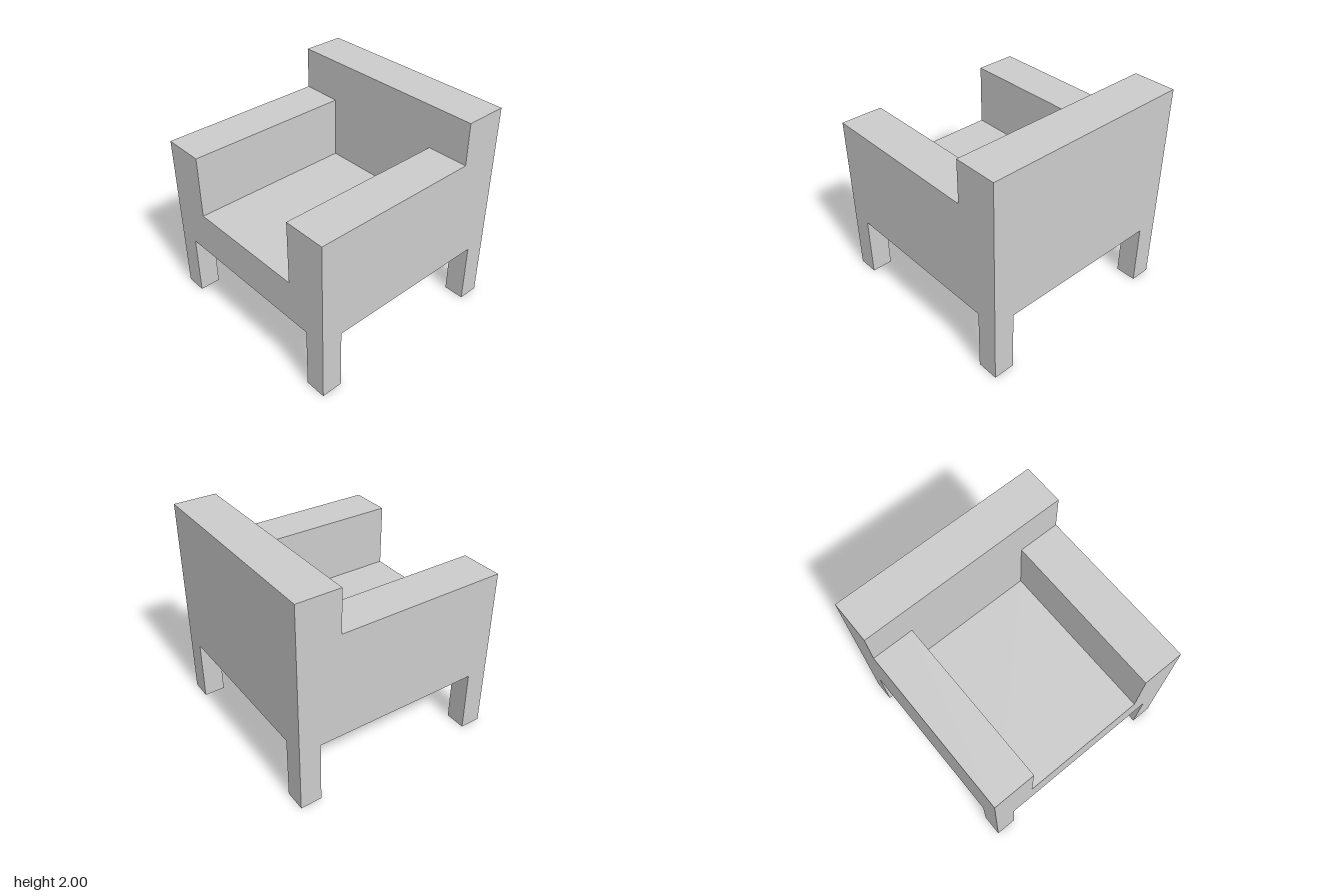
import * as THREE from 'three';

const material = new THREE.MeshStandardMaterial({ color: 0xcccccc, flatShading: true });

// Box given by its minimum and maximum corners
function block(name, [x0, y0, z0], [x1, y1, z1]) {
  const mesh = new THREE.Mesh(new THREE.BoxGeometry(x1 - x0, y1 - y0, z1 - z0), material);
  mesh.position.set((x0 + x1) / 2, (y0 + y1) / 2, (z0 + z1) / 2);
  mesh.name = name;
  return mesh;
}

export function createModel() {
  const armchair = new THREE.Group();
  armchair.name = 'armchair';

  // Seat base, with the backrest and arms standing on it
  armchair.add(
    block('seat', [-1, 0.6, -1], [1, 1, 1]),
    block('backrest', [-1, 1, -1], [1, 2, -0.6]),
    block('leftArm', [0.6, 1, -0.6], [1, 1.6, 1]),
    block('rightArm', [-1, 1, -0.6], [-0.6, 1.6, 1])
  );

  // Square legs flush with the corners
  for (const [side, x] of [['Left', 0.8], ['Right', -1]]) {
    for (const [end, z] of [['front', 0.8], ['back', -1]]) {
      armchair.add(block(`${end}${side}Leg`, [x, 0, z], [x + 0.2, 0.6, z + 0.2]));
    }
  }

  return armchair;
}
